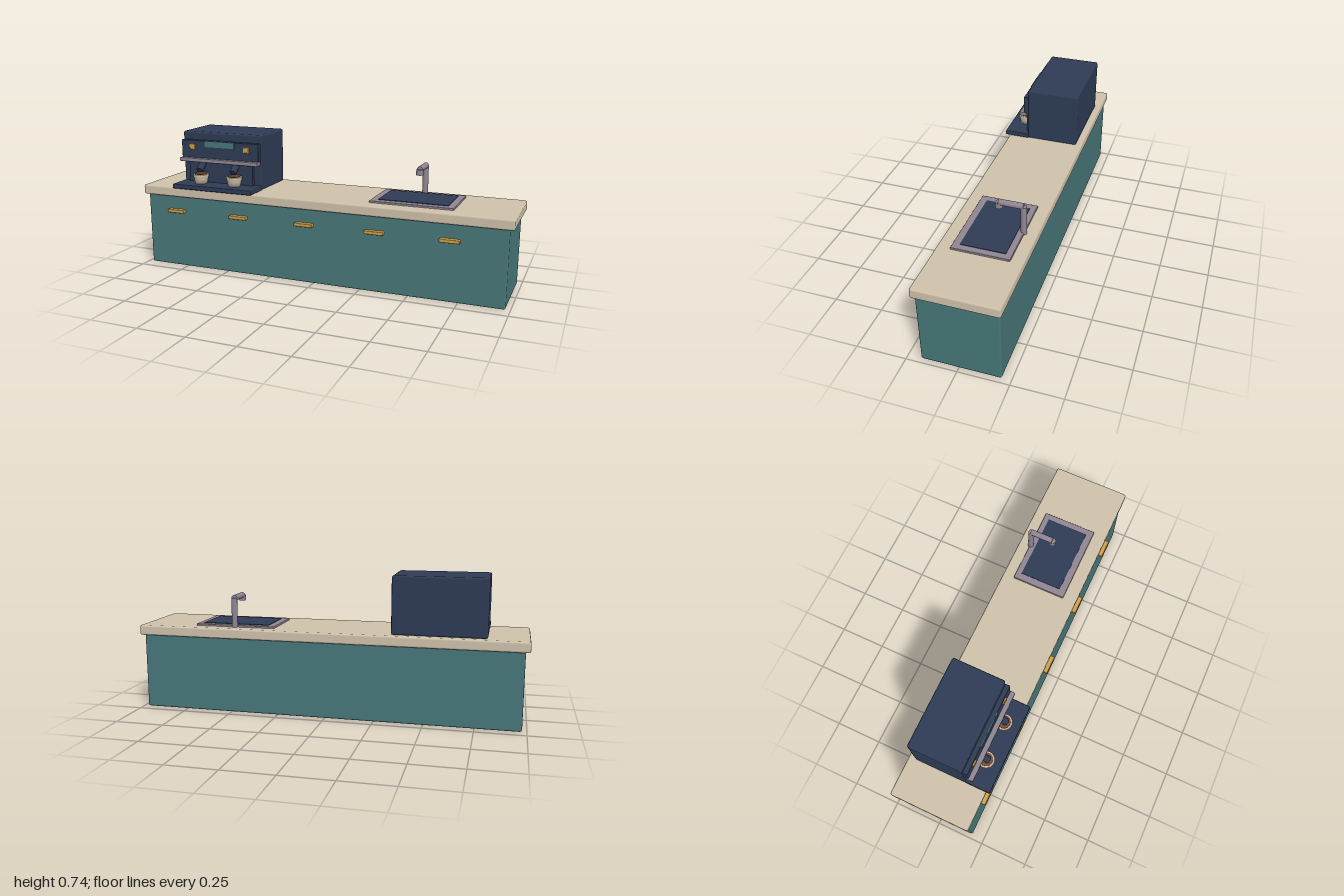
import * as THREE from 'three';
import { RoundedBoxGeometry } from 'three/addons/geometries/RoundedBoxGeometry.js';

const paint = (name, color) => Object.assign(new THREE.MeshStandardMaterial({ color }), { name });

export function createModel() {
  const teal = paint('teal', 0x477678);
  const navy = paint('navy', 0x2d3b55);
  const cream = paint('cream', 0xcfc1aa);
  const gold = paint('gold', 0xd0a048);
  const steel = paint('steel', 0x8f8592);
  const coffee = paint('coffee', 0x7a4a30);

  const model = new THREE.Group();
  model.name = 'coffeeCounter';
  const group = (name) => {
    const g = new THREE.Group();
    g.name = name;
    model.add(g);
    return g;
  };
  const add = (parent, name, geometry, material) => {
    const mesh = new THREE.Mesh(geometry, material);
    mesh.name = name;
    parent.add(mesh);
    return mesh;
  };
  // Box given by its extents on each axis, with optional bevel
  const box = (parent, name, material, [x0, x1], [y0, y1], [z0, z1], bevel = 0) => {
    const size = [x1 - x0, y1 - y0, z1 - z0];
    const geometry = bevel
      ? new RoundedBoxGeometry(...size, 1, bevel)
      : new THREE.BoxGeometry(...size);
    const mesh = add(parent, name, geometry, material);
    mesh.position.set((x0 + x1) / 2, (y0 + y1) / 2, (z0 + z1) / 2);
    return mesh;
  };
  // Cylinder running between two points
  const rod = (parent, name, material, from, to, radius) => {
    const a = new THREE.Vector3(...from);
    const b = new THREE.Vector3(...to);
    const dir = b.clone().sub(a);
    const mesh = add(parent, name, new THREE.CylinderGeometry(radius, radius, dir.length(), 16), material);
    mesh.position.copy(a).add(b).multiplyScalar(0.5);
    mesh.quaternion.setFromUnitVectors(new THREE.Vector3(0, 1, 0), dir.normalize());
    return mesh;
  };

  // Cabinet, worktop and drawer pulls
  const counter = group('counter');
  box(counter, 'cabinet', teal, [-0.977, 0.977], [0, 0.4], [-0.205, 0.185], 0.01);
  box(counter, 'worktop', cream, [-1, 1], [0.39, 0.443], [-0.217, 0.197], 0.01);
  for (let i = 0; i < 5; i++) {
    const x = -0.795 + i * 0.3745;
    box(counter, 'drawerPull', gold, [x - 0.05, x + 0.05], [0.303, 0.321], [0.18, 0.21], 0.004);
  }

  // Espresso machine
  const machine = group('espressoMachine');
  const width = [-0.8, -0.332];
  box(machine, 'body', navy, width, [0.443, 0.735], [-0.186, 0.09], 0.01);
  box(machine, 'controlPanel', navy, [-0.797, -0.335], [0.58, 0.692], [0.085, 0.114], 0.004);
  box(machine, 'splashback', navy, [-0.757, -0.375], [0.455, 0.585], [0.085, 0.108]);
  box(machine, 'dripTray', navy, width, [0.442, 0.467], [0.085, 0.219], 0.005);
  box(machine, 'rail', steel, width, [0.577, 0.598], [0.097, 0.138], 0.005);
  box(machine, 'display', teal, [-0.653, -0.478], [0.659, 0.691], [0.111, 0.117]);
  for (const x of [-0.729, -0.405]) {
    box(machine, 'button', gold, [x - 0.016, x + 0.016], [0.642, 0.672], [0.108, 0.122], 0.003);
  }

  // Brew spouts with a filled cup under each
  const cupProfile = [[0, 0], [0.033, 0], [0.037, 0.025], [0.042, 0.04], [0.042, 0.047], [0.039, 0.05], [0, 0.05]]
    .map(([r, y]) => new THREE.Vector2(r, y));
  for (const x of [-0.668, -0.467]) {
    rod(machine, 'brewSpout', navy, [x, 0.58, 0.109], [x, 0.538, 0.151], 0.019);
    const cup = add(machine, 'cup', new THREE.LatheGeometry(cupProfile, 20), cream);
    cup.position.set(x, 0.467, 0.14);
    rod(machine, 'coffee', coffee, [x, 0.514, 0.14], [x, 0.521, 0.14], 0.033);
  }

  // Sink set into the worktop
  const sink = group('sink');
  box(sink, 'sinkRim', steel, [0.278, 0.703], [0.438, 0.453], [-0.156, 0.129], 0.003);
  box(sink, 'basin', navy, [0.315, 0.67], [0.448, 0.456], [-0.126, 0.094]);

  // Faucet
  const faucet = group('faucet');
  rod(faucet, 'post', steel, [0.49, 0.443, -0.152], [0.49, 0.595, -0.152], 0.015);
  rod(faucet, 'arm', steel, [0.49, 0.595, -0.152], [0.49, 0.595, -0.032], 0.015);
  rod(faucet, 'spout', steel, [0.49, 0.595, -0.032], [0.49, 0.567, -0.032], 0.018);

  return model;
}
